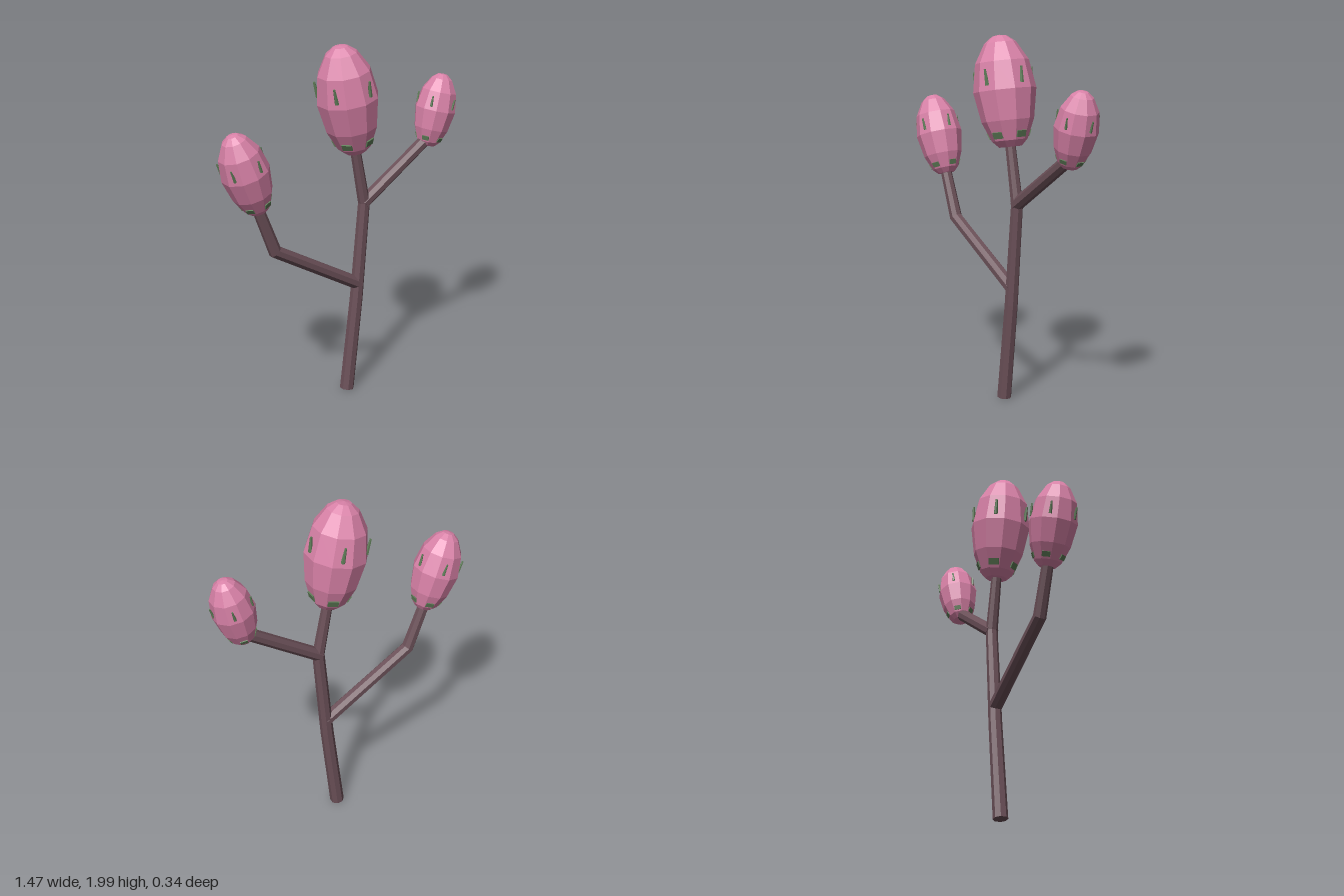
import * as THREE from 'three';

const mat = (color, side = THREE.FrontSide) =>
  new THREE.MeshStandardMaterial({ color, flatShading: true, side });
const bark = mat(0x6b5058);
const pink = mat(0xd982a8);
const green = mat(0x5f7d58);

// Mitred octagonal limb through points [x, y, radius] in the z = 0 plane
function limb(name, pts) {
  const n = 8, pos = [], idx = [];
  const p = pts.map(q => new THREE.Vector2(q[0], q[1]));
  const dir = i => p[i + 1].clone().sub(p[i]).normalize();
  const last = p.length - 1;
  p.forEach((c, i) => {
    const a = dir(Math.max(i - 1, 0)), b = dir(Math.min(i, last - 1));
    const t = a.clone().add(b).normalize();
    const r = pts[i][2], mitre = r / t.dot(a);
    for (let k = 0; k < n; k++) {
      const ang = (k + 0.5) / n * Math.PI * 2;
      const u = Math.cos(ang) * mitre;
      pos.push(c.x + t.y * u, c.y - t.x * u, Math.sin(ang) * r);
    }
  });
  for (let i = 0; i < last; i++) {
    for (let k = 0; k < n; k++) {
      const a = i * n + k, b = i * n + (k + 1) % n;
      idx.push(a, a + n, b, b, a + n, b + n);
    }
  }
  // end caps
  for (let k = 1; k < n - 1; k++) {
    idx.push(0, k, k + 1);
    idx.push(last * n, last * n + k + 1, last * n + k);
  }
  const g = new THREE.BufferGeometry();
  g.setAttribute('position', new THREE.Float32BufferAttribute(pos, 3));
  g.setIndex(idx);
  g.computeVertexNormals();
  const m = new THREE.Mesh(g, bark);
  m.name = name;
  return m;
}

// Ten-sided bud with two rings of five small green scales
function bud(name, x, y, tilt, scale) {
  const group = new THREE.Group();
  group.name = name;
  const profile = [[0, 0], [0.06, 0], [0.095, 0.035], [0.14, 0.14], [0.168, 0.3],
    [0.143, 0.45], [0.085, 0.55], [0.04, 0.585], [0, 0.592]]
    .map(q => new THREE.Vector2(q[0], q[1]));
  const body = new THREE.Mesh(new THREE.LatheGeometry(profile, 10), pink);
  body.name = 'budBody';
  group.add(body);

  const leafGeo = new THREE.CylinderGeometry(0.006, 0.012, 0.085, 6);
  const scaleGeo = new THREE.BoxGeometry(0.016, 0.036, 0.056);
  for (let i = 0; i < 5; i++) {
    const spoke = new THREE.Group();
    spoke.name = 'scalePair';
    spoke.rotation.y = i / 5 * Math.PI * 2;
    const leaf = new THREE.Mesh(leafGeo, green);
    leaf.name = 'upperScale';
    leaf.position.set(0.157, 0.37, 0);
    leaf.rotation.z = -0.1;
    const low = new THREE.Mesh(scaleGeo, green);
    low.name = 'lowerScale';
    low.position.set(0.102, 0.066, 0);
    low.rotation.z = -0.4;
    spoke.add(leaf, low);
    group.add(spoke);
  }
  group.position.set(x, y, 0);
  group.rotation.z = tilt;
  group.scale.setScalar(scale);
  return group;
}

export function createModel() {
  const model = new THREE.Group();
  model.name = 'buddingBranch';
  model.add(
    limb('mainStem', [[0.03, 0.005, 0.04], [0.093, 0.55, 0.037], [0.142, 1.11, 0.033], [0.078, 1.45, 0.028]]),
    limb('rightBranch', [[0.1, 0.64, 0.037], [-0.425, 0.95, 0.035], [-0.53, 1.23, 0.031]]),
    limb('leftBranch', [[0.135, 1.105, 0.036], [0.57, 1.405, 0.034]]),
    bud('middleBud', 0.085, 1.412, 0.17, 1),
    bud('rightBud', -0.515, 1.195, 0.32, 0.77),
    bud('leftBud', 0.567, 1.362, -0.25, 0.68)
  );
  return model;
}
